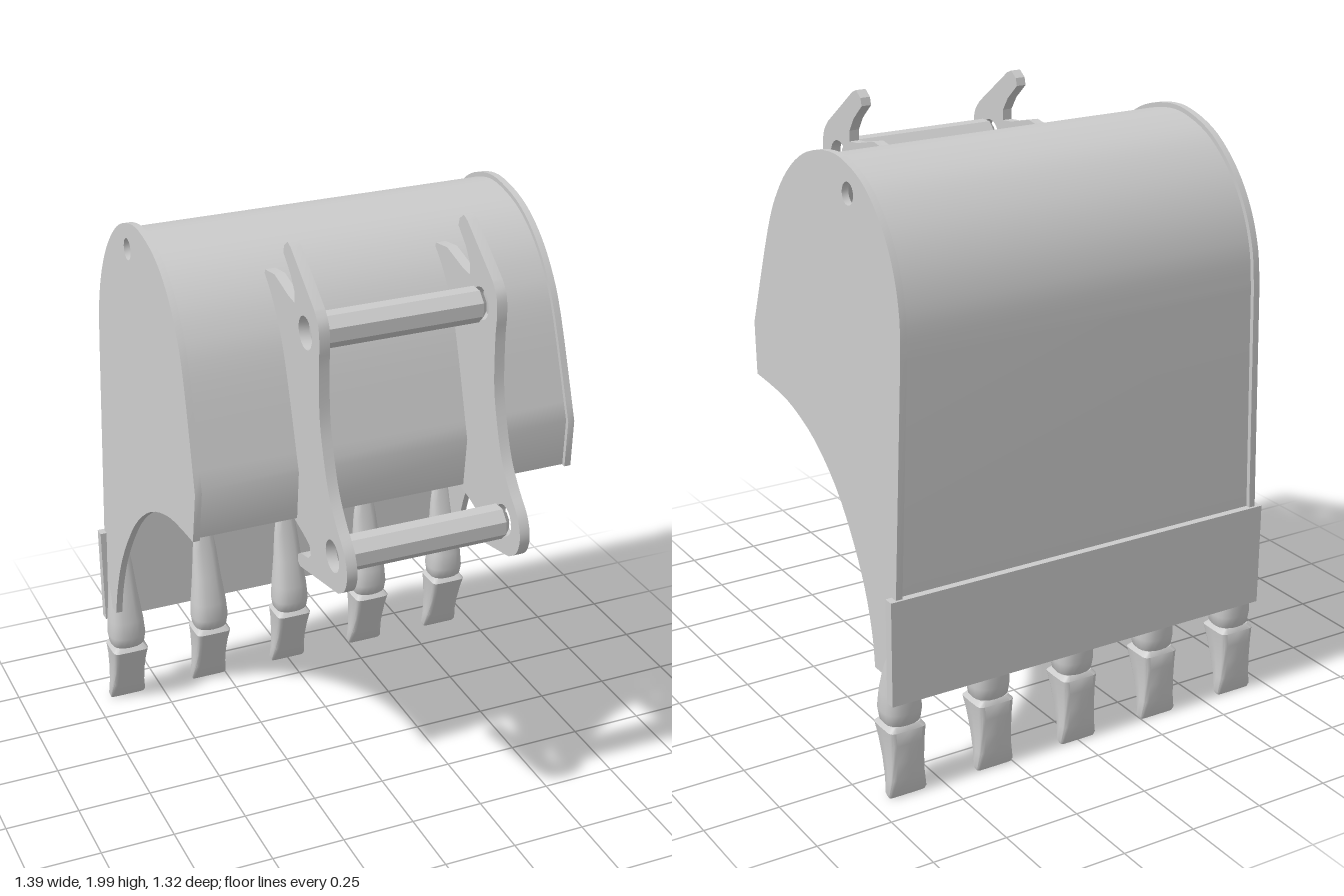
import * as THREE from 'three';
import { toCreasedNormals } from 'three/addons/utils/BufferGeometryUtils.js';

const material = new THREE.MeshStandardMaterial({ color: 0xcccccc, side: THREE.DoubleSide });
const vec = (pts) => pts.map(([z, y]) => new THREE.Vector2(z, y));
const smooth = (pts, n) => new THREE.SplineCurve(vec(pts)).getPoints(n);

// half width of the bucket, widening towards the teeth
const halfWidth = (y) => 0.615 + (1.93 - y) * 0.034;

// extrudes a (z, y) outline along x, centred on x = 0
function profile(points, width, holes = []) {
  const shape = new THREE.Shape(points);
  for (const [z, y, r] of holes) {
    shape.holes.push(new THREE.Path().absarc(z, y, r, 0, Math.PI * 2, true));
  }
  const g = new THREE.ExtrudeGeometry(shape, { depth: width, bevelEnabled: false, curveSegments: 10 });
  g.translate(0, 0, -width / 2);
  g.rotateY(-Math.PI / 2);
  return g;
}

function moveX(g, rule) {
  const p = g.attributes.position;
  for (let i = 0; i < p.count; i++) p.setX(i, rule(p.getX(i), p.getY(i)));
  return toCreasedNormals(g, 0.5);
}

// moves an open polyline to its left by d
function offset(points, d) {
  return points.map((p, i) => {
    const a = points[Math.max(i - 1, 0)], b = points[Math.min(i + 1, points.length - 1)];
    const t = b.clone().sub(a).normalize();
    return new THREE.Vector2(p.x - t.y * d, p.y + t.x * d);
  });
}

// skins boxy rounded sections [y, halfWidth, zFront, zBack], listed upwards
function loft(sections, roundness) {
  const n = 20, pos = [], index = [];
  const pw = (v) => Math.sign(v) * Math.pow(Math.abs(v), roundness);
  for (const [y, w, zf, zb] of sections) {
    for (let i = 0; i < n; i++) {
      const a = (i / n) * Math.PI * 2;
      pos.push(w * pw(Math.cos(a)), y, (zf + zb) / 2 + ((zf - zb) / 2) * pw(Math.sin(a)));
    }
  }
  const last = (sections.length - 1) * n, c = pos.length / 3;
  for (const [y, , zf, zb] of [sections[0], sections.at(-1)]) pos.push(0, y, (zf + zb) / 2);
  for (let i = 0; i < n; i++) {
    const j = (i + 1) % n;
    for (let k = 0; k < last; k += n) {
      index.push(k + i, k + n + i, k + j, k + j, k + n + i, k + n + j);
    }
    index.push(c, i, j, c + 1, last + j, last + i);
  }
  const g = new THREE.BufferGeometry();
  g.setAttribute('position', new THREE.Float32BufferAttribute(pos, 3));
  g.setIndex(index);
  return toCreasedNormals(g, 0.7);
}

export function createModel() {
  const model = new THREE.Group();
  const add = (name, geometry, x = 0, y = 0, z = 0) => {
    const mesh = new THREE.Mesh(geometry, material);
    mesh.name = name;
    mesh.position.set(x, y, z);
    model.add(mesh);
    return mesh;
  };

  // curve from the front edge, over the top and down the back
  const back = [
    ...vec([[0.28, 1.1]]),
    ...smooth([[0.3, 1.27], [0.2, 1.6], [0.13, 1.74], [0.04, 1.84], [-0.07, 1.905], [-0.21, 1.935],
      [-0.32, 1.922], [-0.43, 1.875], [-0.53, 1.785], [-0.6, 1.675], [-0.64, 1.55], [-0.65, 1.42]], 44),
    ...vec([[-0.65, 0.68]]),
  ];
  const mouth = smooth([[-0.53, 0.41], [-0.51, 0.51], [-0.46, 0.64], [-0.38, 0.77], [-0.27, 0.9],
    [-0.12, 1.01], [0.05, 1.075], [0.2, 1.095]], 24);

  // curved shell
  add('shell', moveX(profile([...offset(back, 0.015), ...offset(back, 0.04).reverse()], 2),
    (x, y) => x * halfWidth(y)));

  // leaning side plates with a lifting hole
  for (const [name, s] of [['leftSidePlate', 1], ['rightSidePlate', -1]]) {
    const g = profile([...back, ...vec([[-0.63, 0.41]]), ...mouth], 0.022, [[-0.325, 1.835, 0.035]]);
    add(name, moveX(g, (x, y) => x + s * halfWidth(y)));
  }

  // cutting lip
  add('lip', new THREE.BoxGeometry(1.38, 0.345, 0.034), 0, 0.508, -0.642);

  // hooked mounting brackets
  const bracket = [
    ...vec([[0.03, 1.845], [0.11, 1.857], [0.22, 1.83], [0.27, 1.825], [0.27, 1.86], [0.24, 1.905],
      [0.185, 1.955], [0.192, 1.98], [0.22, 2], [0.245, 1.99]]),
    ...smooth([[0.42, 1.86], [0.45, 1.82], [0.458, 1.76], [0.452, 1.68], [0.455, 1.53], [0.48, 1.42],
      [0.52, 1.31], [0.575, 1.23], [0.635, 1.165], [0.658, 1.1], [0.64, 1.04], [0.59, 1.003]], 40),
    ...vec([[0.285, 0.94], [0.268, 0.95], [0.268, 0.975], [0.29, 0.99], [0.355, 1.005], [0.375, 1.025],
      [0.365, 1.055], [0.32, 1.07], [0.2, 1.098], [0.265, 1.12], [0.275, 1.27], [0.175, 1.6],
      [0.11, 1.735], [0.025, 1.825]]),
  ];
  const pins = [['upperPin', 0.35, 1.76], ['lowerPin', 0.547, 1.11]];
  const holes = pins.map(([, z, y]) => [z, y, 0.052]);
  const bracketGeometry = toCreasedNormals(profile(bracket, 0.034, holes), 0.5);
  add('leftBracket', bracketGeometry, 0.288);
  add('rightBracket', bracketGeometry, -0.288);

  // faceted pins with chamfered ends, laid between the brackets
  const pinGeometry = new THREE.LatheGeometry(
    vec([[0, -0.274], [0.035, -0.274], [0.056, -0.255], [0.056, 0.255], [0.035, 0.274], [0, 0.274]]), 8);
  pinGeometry.rotateY(Math.PI / 8);
  pinGeometry.rotateZ(Math.PI / 2);
  const pinFlat = toCreasedNormals(pinGeometry, 0.4);
  for (const [name, z, y] of pins) add(name, pinFlat, 0, y, z);

  // teeth: a tapered adapter over the lip and a wedge tip below it
  const adapter = loft([[0.235, 0.045, -0.555, -0.63], [0.255, 0.06, -0.535, -0.645],
    [0.29, 0.065, -0.528, -0.65], [0.35, 0.061, -0.535, -0.65], [0.45, 0.05, -0.562, -0.645],
    [0.55, 0.042, -0.59, -0.64], [0.6, 0.035, -0.603, -0.637], [0.625, 0.024, -0.61, -0.635],
    [0.635, 0.008, -0.617, -0.632]], 0.75);
  const tip = loft([[0.008, 0.062, -0.615, -0.635], [0.02, 0.066, -0.607, -0.641],
    [0.07, 0.06, -0.59, -0.645], [0.13, 0.058, -0.568, -0.648], [0.19, 0.06, -0.546, -0.65],
    [0.235, 0.065, -0.53, -0.65], [0.25, 0.052, -0.545, -0.638]], 0.3);
  for (let i = -2; i <= 2; i++) {
    add('toothAdapter', adapter, i * 0.314);
    add('toothTip', tip, i * 0.314);
  }
  return model;
}
